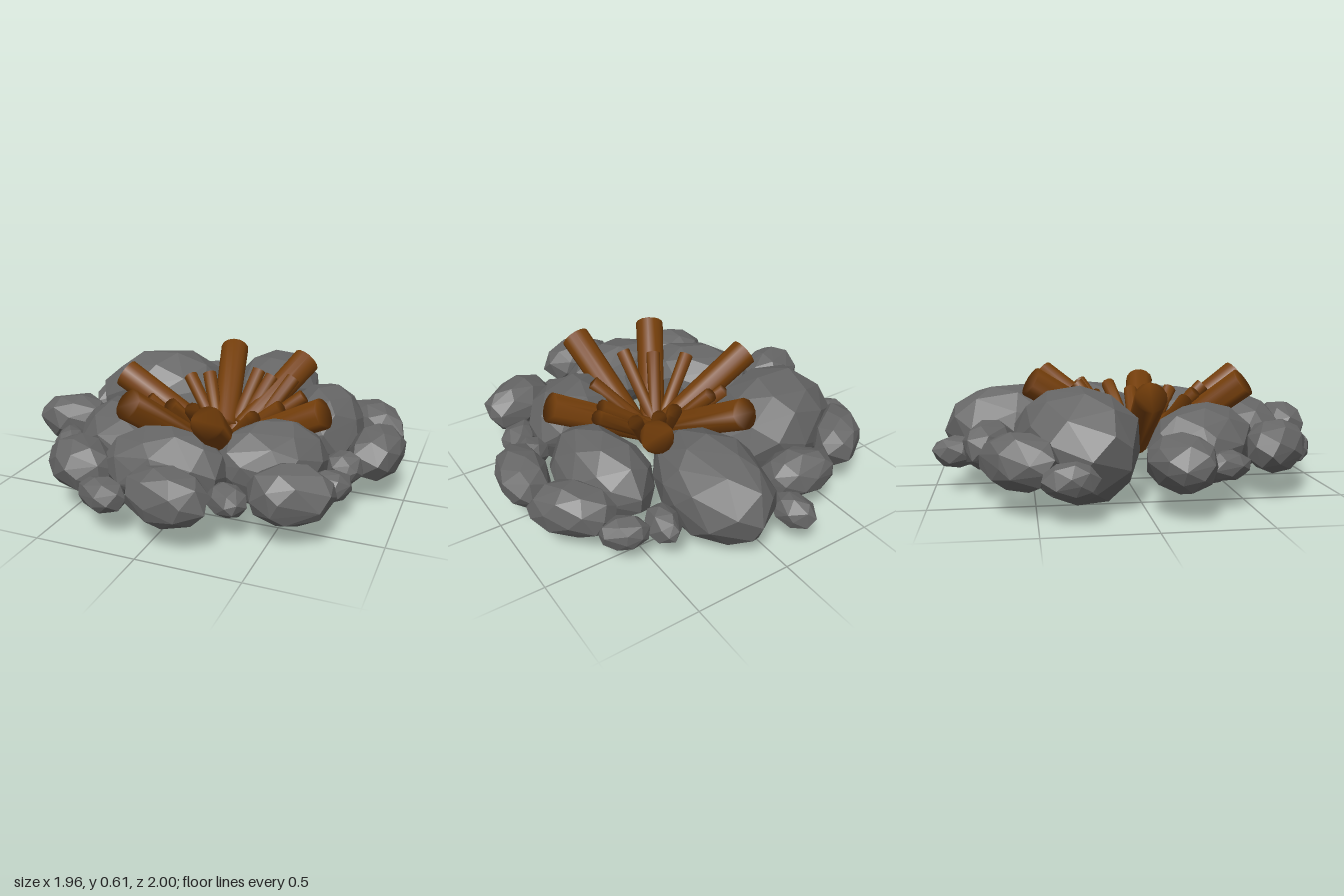
import * as THREE from 'three';
import { ConvexGeometry } from 'three/addons/geometries/ConvexGeometry.js';
import { mergeVertices } from 'three/addons/utils/BufferGeometryUtils.js';

const stone = new THREE.MeshStandardMaterial({ color: 0x666666, flatShading: true });
const wood = new THREE.MeshStandardMaterial({ color: 0x743e0a });

// Seeded random numbers
function seeded(seed) {
  let s = seed * 7919 + 17;
  return () => (s = (s * 16807) % 2147483647) / 2147483647;
}

// Faceted boulder: hull of jittered points spread over an ellipsoid
function rock(seed, count, [x, y, z, rx, ry, rz, deg]) {
  const rnd = seeded(seed);
  const points = [];
  for (let i = 0; i < count; i++) {
    const h = 1 - (2 * (i + 0.5)) / count;
    const a = i * 2.39996 + (rnd() - 0.5) * 0.45 + seed;
    const r = Math.sqrt(1 - h * h);
    const k = 0.98 + rnd() * 0.1;
    points.push(new THREE.Vector3(r * Math.cos(a) * rx * k, h * ry * 1.04, r * Math.sin(a) * rz * k));
  }
  const mesh = new THREE.Mesh(new ConvexGeometry(points), stone);
  mesh.position.set(x, y, z);
  mesh.rotation.y = THREE.MathUtils.degToRad(deg);
  return mesh;
}

// Softly shaded round stick from a low inner end to a raised outer end
function stick(from, to, rIn, rOut, sides) {
  const a = new THREE.Vector3(...from), b = new THREE.Vector3(...to);
  const dir = b.clone().sub(a);
  const half = dir.length() / 2;
  const points = [];
  for (let i = 0; i < sides; i++) {
    const t = (i / sides) * Math.PI * 2;
    for (const [r, y] of [[rIn, -half], [rOut, half]]) {
      points.push(new THREE.Vector3(r * Math.cos(t), y, r * Math.sin(t)));
    }
  }
  let geo = new ConvexGeometry(points);
  geo.deleteAttribute('normal');
  geo = mergeVertices(geo);
  geo.computeVertexNormals();
  const mesh = new THREE.Mesh(geo, wood);
  mesh.position.copy(a).add(b).multiplyScalar(0.5);
  mesh.quaternion.setFromUnitVectors(new THREE.Vector3(0, 1, 0), dir.normalize());
  return mesh;
}

export function createModel() {
  const model = new THREE.Group();
  model.name = 'campfire';
  const add = (name, meshes) => {
    const group = new THREE.Group();
    group.name = name + 's';
    meshes.forEach((m, i) => { m.name = name + (i + 1); group.add(m); });
    model.add(group);
  };

  // Inner ring of boulders: x, y, z, radii, turn in degrees
  add('boulder', [
    [-0.435, 0.275, -0.30, 0.375, 0.27, 0.285, 22],
    [0.135, 0.27, -0.58, 0.25, 0.238, 0.37, 0],
    [0.53, 0.27, -0.2, 0.21, 0.205, 0.32, 10],
    [0.40, 0.255, 0.335, 0.29, 0.2, 0.22, 42],
    [-0.03, 0.265, 0.595, 0.31, 0.19, 0.20, 4],
    [-0.375, 0.255, 0.32, 0.325, 0.195, 0.23, -50],
  ].map((r, i) => rock(i + 1, 44, r)));

  // Outer ring of stones
  add('stone', [
    [-0.285, 0.26, -0.715, 0.19, 0.12, 0.125, -10],
    [-0.67, 0.25, -0.57, 0.21, 0.13, 0.13, 48],
    [-0.795, 0.25, 0.135, 0.195, 0.13, 0.145, 20],
    [-0.445, 0.25, 0.67, 0.20, 0.13, 0.145, -30],
    [0.095, 0.26, 0.868, 0.205, 0.135, 0.135, -4],
    [0.59, 0.25, 0.63, 0.205, 0.14, 0.14, 18],
    [0.85, 0.25, 0.01, 0.13, 0.13, 0.2, -8],
    [0.765, 0.25, -0.35, 0.215, 0.13, 0.135, -48],
  ].map((r, i) => rock(i + 11, 34, r)));

  // Small pebbles filling the gaps
  add('pebble', [
    [-0.125, 0.20, -0.88, 0.082, 0.08, 0.12, 12],
    [-0.85, 0.20, -0.36, 0.08, 0.08, 0.125, 0],
    [-0.69, 0.21, 0.36, 0.08, 0.07, 0.125, 20],
    [-0.235, 0.20, 0.845, 0.125, 0.085, 0.08, -8],
    [0.31, 0.20, 0.69, 0.115, 0.075, 0.085, -35],
    [0.70, 0.20, 0.385, 0.125, 0.075, 0.085, 40],
    [0.73, 0.22, 0.19, 0.10, 0.08, 0.09, 0],
    [0.62, 0.20, -0.575, 0.12, 0.08, 0.08, -25],
    [0.44, 0.20, -0.62, 0.082, 0.08, 0.115, -10],
  ].map((r, i) => rock(i + 31, 26, r)));

  // Large logs leaning outward onto the boulders: inner end, outer end
  add('log', [
    [[0.02, 0.25, -0.03], [-0.10, 0.545, -0.505]],
    [[0.13, 0.25, -0.04], [0.35, 0.54, -0.435]],
    [[0.0, 0.20, 0.05], [-0.525, 0.505, 0.04]],
    [[0.10, 0.20, 0.08], [0.605, 0.47, 0.165]],
    [[0.12, 0.18, 0.14], [0.205, 0.54, 0.65]],
    [[0.01, 0.18, 0.15], [-0.235, 0.54, 0.565]],
  ].map(([from, to]) => stick(from, to, 0.068, 0.078, 14)));

  // Thin kindling between the logs
  add('twig', [
    [0.0, 0.0, -0.235, 0.46, -0.17],
    [0.01, 0.01, -0.13, 0.48, -0.19],
    [0.06, -0.03, 0.135, 0.51, -0.255],
    [0.09, -0.03, 0.215, 0.49, -0.24],
    [0.16, -0.02, 0.34, 0.50, -0.225],
    [0.13, 0.04, 0.45, 0.47, -0.045],
    [0.08, 0.06, 0.365, 0.44, 0.075],
    [0.09, 0.13, 0.295, 0.45, 0.29],
    [0.02, 0.13, 0.03, 0.50, 0.42],
    [0.01, 0.12, -0.12, 0.48, 0.345],
    [-0.05, 0.13, -0.285, 0.46, 0.255],
  ].map(([x, z, ex, ey, ez]) => stick([x, 0.21, z], [ex, ey, ez], 0.033, 0.038, 10)));

  return model;
}
